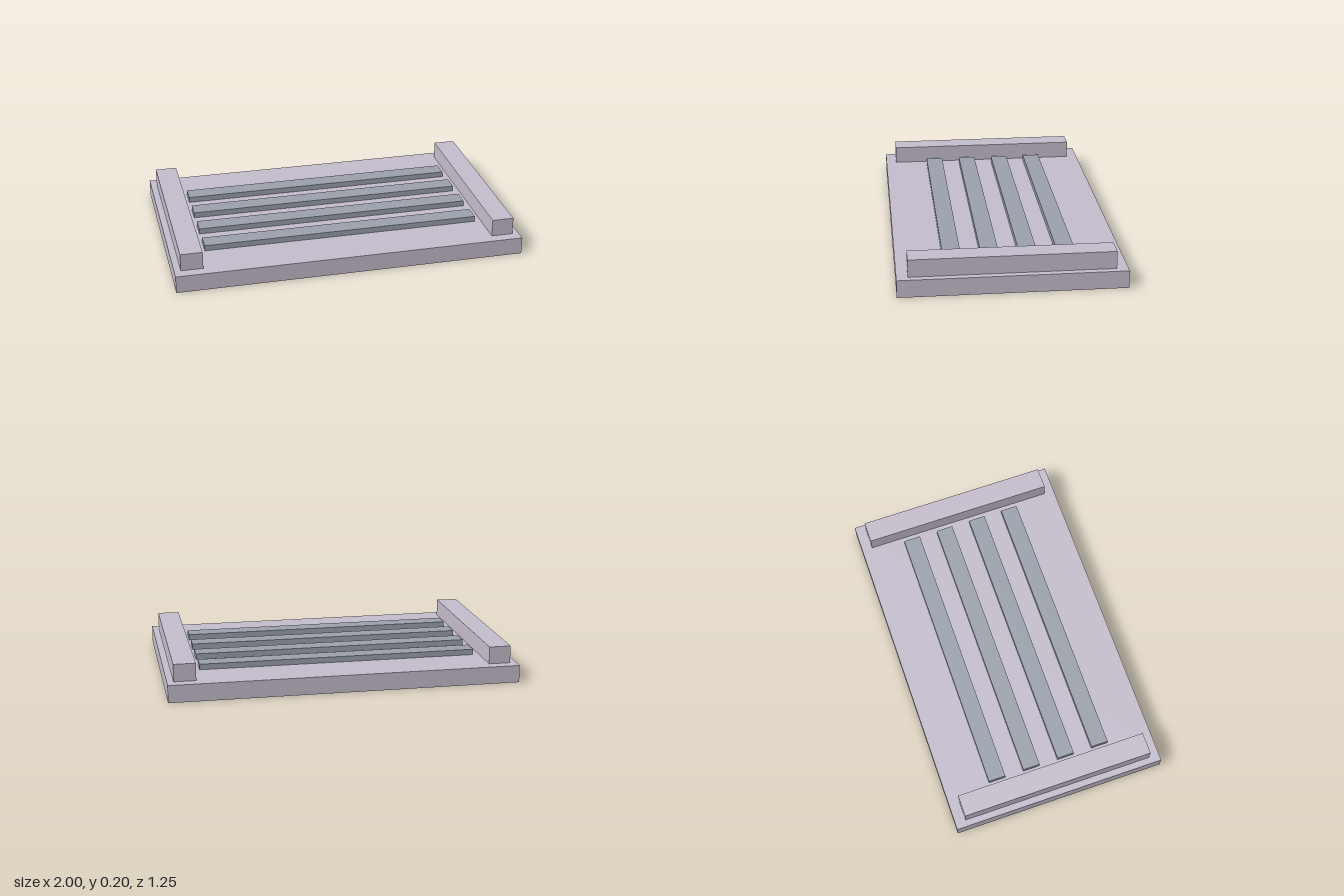
import * as THREE from 'three';

export function createModel() {
  const model = new THREE.Group();
  model.name = 'slattedPlatform';

  const paleMauve = new THREE.MeshStandardMaterial({ color: 0xc3bbca });
  paleMauve.name = 'pale mauve';
  const slateGrey = new THREE.MeshStandardMaterial({ color: 0x9aa0aa });
  slateGrey.name = 'slate grey';

  // Box whose underside sits at the given height
  function addBox(name, [w, h, d], [x, bottom, z], material) {
    const mesh = new THREE.Mesh(new THREE.BoxGeometry(w, h, d), material);
    mesh.name = name;
    mesh.position.set(x, bottom + h / 2, z);
    model.add(mesh);
  }

  // Base slab
  addBox('base', [2, 0.1, 1.25], [0, 0, 0], paleMauve);

  // Raised rail along each short end
  for (const side of [-1, 1]) {
    addBox(side > 0 ? 'leftRail' : 'rightRail', [0.125, 0.1, 1.125], [side * 0.9, 0.1, 0], paleMauve);
  }

  // Four evenly spaced slats between the rails
  for (let i = 0; i < 4; i++) {
    addBox(`slat${i + 1}`, [1.6, 0.0325, 0.1], [0, 0.1, (i - 1.5) * 0.21], slateGrey);
  }

  return model;
}
